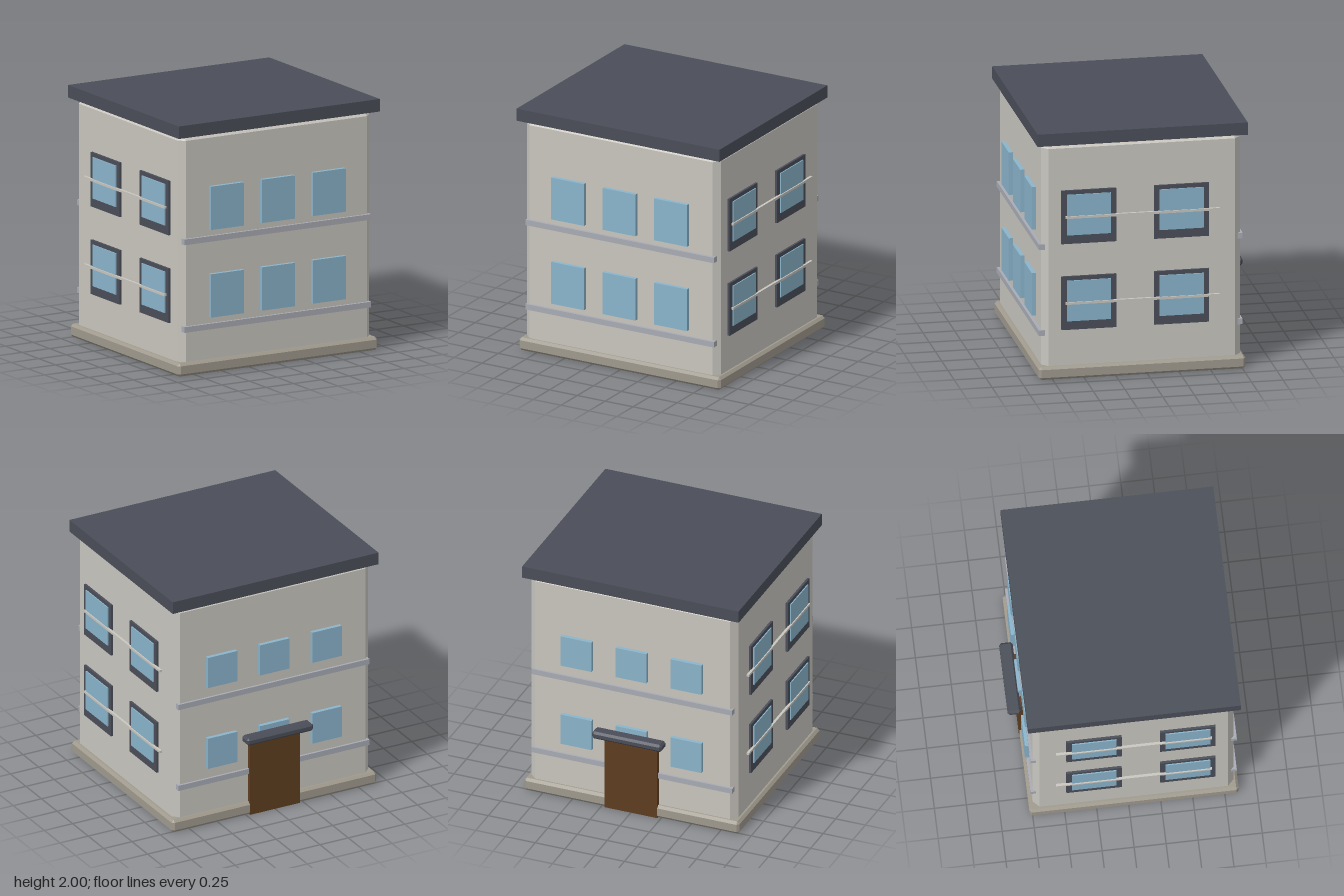
import * as THREE from 'three';
import { ConvexGeometry } from 'three/addons/geometries/ConvexGeometry.js';

const paint = (name, color) => {
  const m = new THREE.MeshStandardMaterial({ color });
  m.name = name;
  return m;
};

// Box with all edges chamfered by c, given as [min, max] ranges
function chamferBox(x, y, z, c) {
  const pts = [];
  for (const i of [0, 1]) for (const j of [0, 1]) for (const k of [0, 1]) {
    const p = [x[i], y[j], z[k]];
    const inward = [i ? -c : c, j ? -c : c, k ? -c : c];
    for (let axis = 0; axis < 3; axis++) {
      const q = p.map((v, a) => (a === axis ? v : v + inward[a]));
      pts.push(new THREE.Vector3(...q));
    }
  }
  return new ConvexGeometry(pts);
}

function plainBox(x, y, z) {
  const g = new THREE.BoxGeometry(x[1] - x[0], y[1] - y[0], z[1] - z[0]);
  g.translate((x[0] + x[1]) / 2, (y[0] + y[1]) / 2, (z[0] + z[1]) / 2);
  return g;
}

export function createModel() {
  const wall = paint('wall plaster', 0xc9c6bf);
  const stone = paint('base stone', 0xa09a8e);
  const slate = paint('dark slate', 0x4a4e58);
  const glass = paint('window glass', 0x8ab4cb);
  const trim = paint('grey trim', 0xa9acb5);
  const wood = paint('door wood', 0x5e3e20);

  const building = new THREE.Group();
  building.name = 'building';
  const add = (name, geometry, material) => {
    const mesh = new THREE.Mesh(geometry, material);
    mesh.name = name;
    building.add(mesh);
  };

  // Main masses
  add('walls', chamferBox([-0.87, 0.87], [0.02, 1.915], [-0.74, 0.83], 0.05), wall);
  add('base', chamferBox([-0.905, 0.905], [0, 0.105], [-0.772, 0.862], 0.02), stone);
  add('roof', plainBox([-0.91, 0.91], [1.9, 2], [-0.785, 0.875]), slate);

  // Two identical storeys
  for (const up of [0, 0.697]) {
    const range = (a, b) => [a + up, b + up];

    // Front and back windows
    for (const x of [-0.462, 0, 0.462]) {
      add('frontWindow', plainBox([x - 0.148, x + 0.148], range(0.44, 0.785), [0.8, 0.862]), glass);
      add('backWindow', plainBox([x - 0.13, x + 0.13], range(0.482, 0.742), [-0.772, -0.72]), glass);
    }

    // Ledges below the windows
    add('frontLedge', plainBox([-0.845, 0.845], range(0.345, 0.39), [0.803, 0.852]), trim);
    add('backLedge', plainBox([-0.845, 0.845], range(0.345, 0.39), [-0.758, -0.709]), trim);

    // Framed side windows and the rail running across them
    for (const side of [-1, 1]) {
      const out = (a, b) => (side > 0 ? [a, b] : [-b, -a]);
      for (const z of [0.465, -0.267]) {
        add('sideFrame', plainBox(out(0.85, 0.888), range(0.395, 0.827), [z - 0.216, z + 0.216]), slate);
        add('sideWindow', plainBox(out(0.86, 0.897), range(0.466, 0.795), [z - 0.174, z + 0.174]), glass);
      }
      add('sideRail', plainBox(out(0.885, 0.906), range(0.603, 0.622), [-0.565, 0.652]), wall);
    }
  }

  // Back entrance with its canopy
  add('door', plainBox([-0.22, 0.22], [0, 0.61], [-0.775, -0.72]), wood);
  add('canopy', chamferBox([-0.293, 0.293], [0.643, 0.706], [-0.87, -0.765], 0.017), slate);

  // Centre the whole depth on z = 0
  const box = new THREE.Box3().setFromObject(building);
  building.position.z = -(box.min.z + box.max.z) / 2;
  const model = new THREE.Group();
  model.name = 'model';
  model.add(building);
  return model;
}
